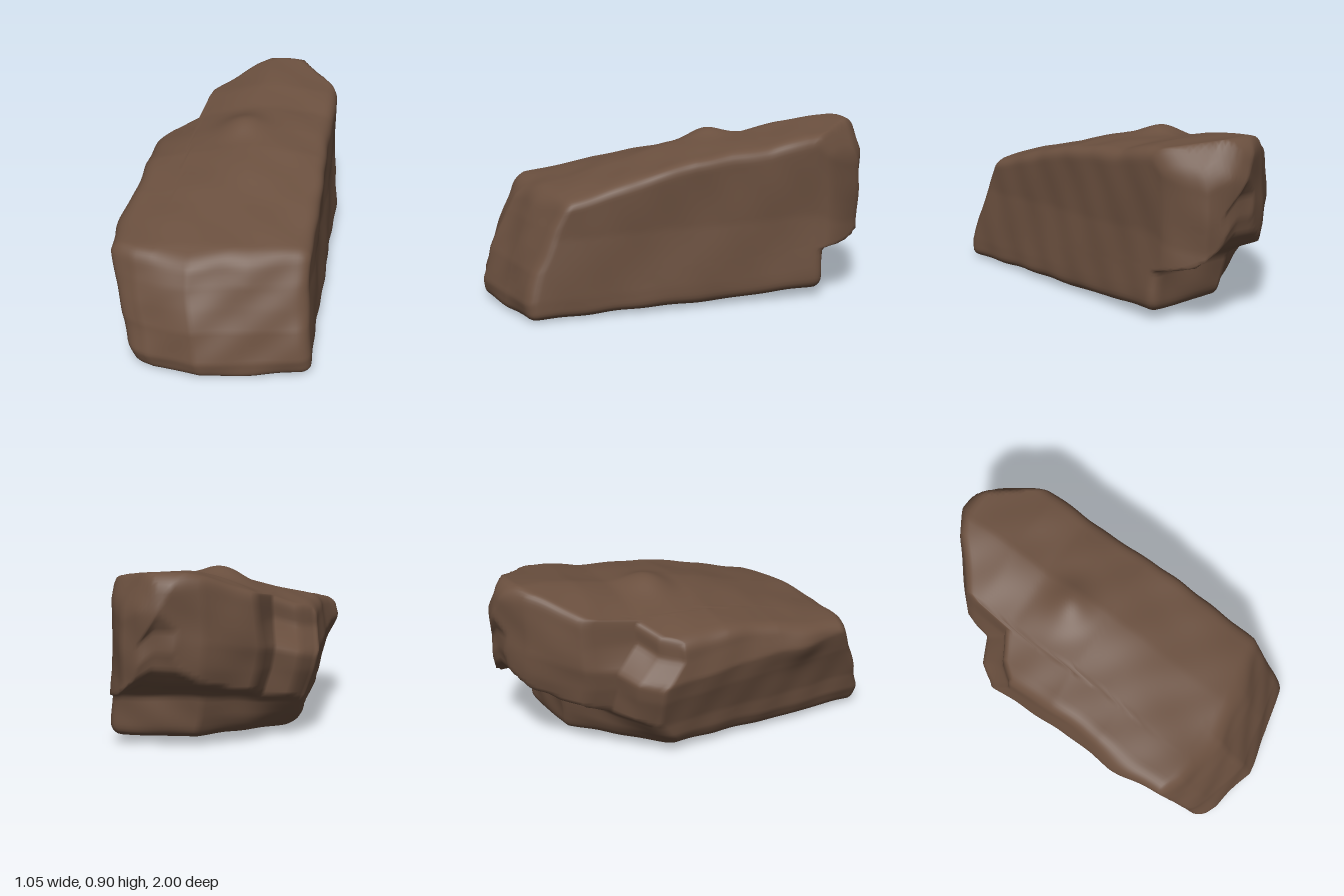
import * as THREE from 'three';
import { mergeVertices } from 'three/addons/utils/BufferGeometryUtils.js';

// Piecewise-linear curve through [key, value] pairs
function curve(points, k) {
  if (k <= points[0][0]) return points[0][1];
  for (let i = 1; i < points.length; i++) {
    const [a, va] = points[i - 1], [b, vb] = points[i];
    if (k <= b) return va + (vb - va) * (k - a) / (b - a);
  }
  return points[points.length - 1][1];
}

// Height of the crest along z
const CREST = [[-1, 0.85], [-0.9, 0.895], [-0.6, 0.865], [-0.4, 0.82], [-0.2, 0.805],
  [0, 0.78], [0.2, 0.73], [0.4, 0.675], [0.6, 0.625], [0.7, 0.6], [0.8, 0.56], [1, 0.53]];
// Front face: slope by height, then skew by x
const FRONT = [[0, 0.99], [0.1, 1], [0.27, 0.955], [0.38, 0.91], [0.48, 0.865], [0.6, 0.8]];
const FRONT_SKEW = [[-0.5, -0.1], [-0.38, -0.05], [-0.1, 0], [0.2, -0.05], [0.5, -0.12]];
// Back face: outline by x with a broken-out corner, and an undercut by height
const BACK = [[-0.48, -0.4], [-0.42, -0.48], [-0.28, -0.55], [-0.25, -0.69], [0, -0.9], [0.12, -0.96],
  [0.2, -1], [0.3, -0.97], [0.4, -0.92], [0.5, -0.76]];
const UNDERCUT = [[0, -0.68], [0.1, -0.69], [0.23, -0.7], [0.28, -0.79], [0.32, -0.88], [0.4, -0.95],
  [0.5, -0.97], [0.6, -0.96], [0.72, -1], [0.85, -0.96]];
// Side faces by height
const LEFT = [[0, 0.525], [0.1, 0.522], [0.4, 0.497], [0.8, 0.5]];
const RIGHT = [[0, -0.345], [0.1, -0.39], [0.2, -0.405], [0.4, -0.46], [0.53, -0.485], [0.65, -0.465], [0.8, -0.45]];

function topHeight(x, z) {
  const fall = curve([[-0.6, 0.19], [-0.2, 0.15], [0.3, 0.07], [0.8, 0.03]], z);
  const side = x < 0.1 ? fall * Math.pow((0.1 - x) / 0.55, 1.2) : 0.03 * Math.pow((x - 0.1) / 0.4, 2);
  const knob = 0.05 * Math.exp(-((x - 0.02) ** 2 + (z + 0.2) ** 2) / 0.015);
  // Sloping facet on the far back corner
  const facet = 1.6 * Math.max(0, 0.77 * (x - 0.5) - 0.64 * (z + 0.65));
  return curve(CREST, z) - side + knob - facet;
}

// Back limit at x and height y: plan outline, undercut and broken corner
function backLimit(x, y) {
  const shelf = x < -0.27 ? curve([[0.55, 0], [0.72, 0.12]], y) : 0;
  const lowerCut = Math.max(0, -x) * curve([[0, 0.85], [0.25, 0.6], [0.4, 0]], y);
  return Math.max(curve(BACK, x) + shelf, curve(UNDERCUT, y) + lowerCut);
}

// Box with softened edges, vertices then moved onto the stone's faces
function stoneGeometry() {
  const half = new THREE.Vector3(0.5, 0.42, 1), radius = 0.06;
  const inner = half.clone().subScalar(radius), low = inner.clone().negate();
  let geo = new THREE.BoxGeometry(1, 0.84, 2, 50, 40, 84);
  geo.deleteAttribute('uv');
  geo.deleteAttribute('normal');
  geo = mergeVertices(geo, 1e-4);
  const pos = geo.attributes.position;
  const p = new THREE.Vector3(), core = new THREE.Vector3();
  for (let i = 0; i < pos.count; i++) {
    p.fromBufferAttribute(pos, i);
    core.copy(p).clamp(low, inner);
    p.sub(core).normalize().multiplyScalar(radius).add(core);

    const v = (p.y + half.y) / (2 * half.y);
    const s = (p.x + half.x) / (2 * half.x);
    const t = (p.z + half.z) / (2 * half.z);
    const front = curve(FRONT, v * 0.6) + curve(FRONT_SKEW, p.x);
    let z = THREE.MathUtils.lerp(backLimit(p.x, v * 0.86), front, t);
    const level = v * curve(CREST, z) * 0.95;
    let x = THREE.MathUtils.lerp(curve(RIGHT, level), curve(LEFT, level), s);
    // Bulge on the side near the front
    if (s < 0.5) x -= 0.04 * (1 - 2 * s) * Math.exp(-((z - 0.42) ** 2) / 0.03 - ((level - 0.53) ** 2) / 0.012);
    const base = curve([[-0.7, 0.045], [0, 0.018], [1, 0]], z);
    let y = THREE.MathUtils.lerp(base, topHeight(x, z), v);

    // Gentle weathering
    const wx = x, wy = y, wz = z;
    x += 0.004 * Math.sin(9 * wz + 9 * wy) + 0.002 * Math.sin(25 * wz - 13 * wy);
    y += 0.003 * Math.sin(12 * wx + 8 * wz) + 0.002 * Math.sin(21 * wz - 15 * wx);
    z += 0.005 * Math.sin(13 * wx + 10 * wy) + 0.003 * Math.sin(24 * wy - 19 * wx);
    pos.setXYZ(i, x, y, z);
  }
  // Rest on the ground, centred
  geo.computeBoundingBox();
  const c = geo.boundingBox.getCenter(new THREE.Vector3());
  geo.translate(-c.x, -geo.boundingBox.min.y, -c.z);
  geo.computeVertexNormals();
  return geo;
}

export function createModel() {
  const group = new THREE.Group();
  group.name = 'rock';
  const brownStone = new THREE.MeshStandardMaterial({ color: 0x6b503f });
  brownStone.name = 'brownStone';
  const boulder = new THREE.Mesh(stoneGeometry(), brownStone);
  boulder.name = 'boulder';
  group.add(boulder);
  return group;
}
